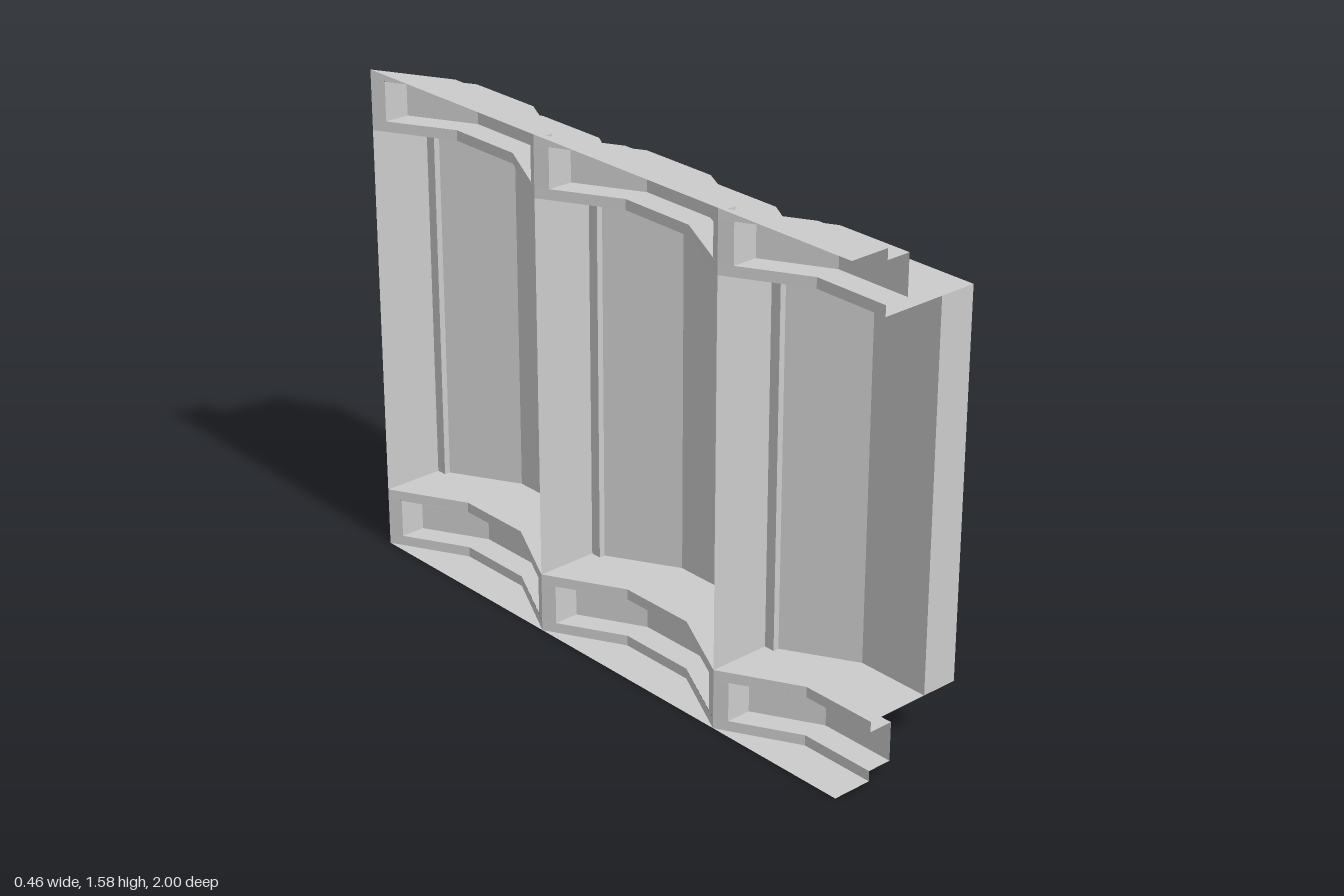
import * as THREE from 'three';
import { mergeGeometries } from 'three/addons/utils/BufferGeometryUtils.js';

const material = new THREE.MeshStandardMaterial({ color: 0xcccccc, flatShading: true, side: THREE.DoubleSide });
const HEIGHT = 1.58, RAIL = 0.19, PITCH = 0.755;

// Cross-sections of one bay as [x, distance along z]
const OUTER = [[-0.03, 0], [-0.03, 0.035], [0.11, 0.035], [0.23, 0.24], [0.23, 0.5], [0.09, 0.745], [-0.03, 0.755]];
const INNER = [[-0.03, 0], [0.11, 0.25], [0.11, 0.5], [-0.03, 0.755]];
const PLATE_EDGE = [[-0.03, 0], [0.11, 0.03], [0.23, 0.24], [0.23, 0.5], [0.09, 0.745], [-0.03, 0.75]];
const RAIL_EDGE = [[-0.23, 0], [-0.1, 0.24], [-0.1, 0.5], [-0.23, 0.755]];
const MOUTH = [[-0.209, 0.04], [-0.1, 0.24], [-0.1, 0.5], [-0.209, 0.715]];
const BACK = MOUTH.map(([x, d]) => [x + 0.08, d]);

// Place a bay section along z; the last bay is cut off at z = 1
const place = (path, z0) => path
  .filter(([, d]) => z0 + d < 1.02)
  .map(([x, d]) => [x, Math.min(1, z0 + d)]);

// Vertical sheet following a path of [x, z] points
function sheet(path, y0, y1) {
  const p = [];
  for (let i = 0; i < path.length - 1; i++) {
    const [ax, az] = path[i], [bx, bz] = path[i + 1];
    p.push(ax, y0, az, ax, y1, az, bx, y1, bz, ax, y0, az, bx, y1, bz, bx, y0, bz);
  }
  const g = new THREE.BufferGeometry();
  g.setAttribute('position', new THREE.Float32BufferAttribute(p, 3));
  g.computeVertexNormals();
  return g;
}

// Horizontal sheet filling an outline of [x, z] points
function flat(outline, y) {
  const shape = new THREE.Shape(outline.map(([x, z]) => new THREE.Vector2(x, -z)));
  const g = new THREE.ShapeGeometry(shape).toNonIndexed();
  g.deleteAttribute('uv');
  return g.rotateX(-Math.PI / 2).translate(0, y, 0);
}

function addPart(parent, name, geometries) {
  const mesh = new THREE.Mesh(mergeGeometries(geometries), material);
  mesh.name = name;
  parent.add(mesh);
}

export function createModel() {
  const model = new THREE.Group();
  model.name = 'corrugatedWall';

  for (let bay = 0; bay < 3; bay++) {
    const z0 = -1 + bay * PITCH, cut = bay === 2;
    const group = new THREE.Group();
    group.name = 'bay' + (bay + 1);
    model.add(group);

    const outer = place(OUTER, z0), inner = place(INNER, z0);
    const edge = place(RAIL_EDGE, z0), plate = place(PLATE_EDGE, z0);
    const mouth = place(MOUTH, z0), back = place(BACK, z0);

    // Thick folded wall panel, with its end cap where it is cut
    const panel = [sheet(outer, RAIL, HEIGHT - RAIL), sheet(inner, RAIL, HEIGHT - RAIL)];
    if (cut) panel.push(sheet([outer.at(-1), inner.at(-1)], RAIL, HEIGHT - RAIL));
    addPart(group, 'wallPanel', panel);

    // Thin web at the joint
    addPart(group, 'jointWeb', [sheet([[-0.23, z0], [-0.03, z0]], RAIL, HEIGHT - RAIL)]);

    for (const top of [false, true]) {
      const Y = (y) => (top ? HEIGHT - y : y);
      const side = top ? 'upper' : 'lower';

      // Shelf closing the panel
      addPart(group, side + 'Shelf', [flat([...edge, ...[...plate].reverse()], Y(RAIL))]);

      // Flange with a straight rear edge
      addPart(group, side + 'Flange', [flat(edge, Y(0))].concat(
        cut ? [flat([edge[0], edge.at(-1), [-0.23, 1]], Y(0))] : []));

      // Rail face framing a pocket
      const frame = [
        sheet(edge, Y(0), Y(0.033)),
        sheet(edge, Y(0.157), Y(RAIL)),
        sheet([edge[0], mouth[0]], Y(0.033), Y(0.157)),
      ];
      if (!cut) frame.push(sheet([mouth.at(-1), edge.at(-1)], Y(0.033), Y(0.157)));
      addPart(group, side + 'RailFace', frame);

      // Pocket bulging out towards the panel side
      const rim = [...mouth, ...[...back].reverse()];
      const pocket = [
        sheet(back, Y(0.033), Y(0.157)),
        flat(rim, Y(0.033)),
        flat(rim, Y(0.157)),
        sheet([mouth[0], back[0]], Y(0.033), Y(0.157)),
      ];
      if (!cut) pocket.push(sheet([mouth.at(-1), back.at(-1)], Y(0.033), Y(0.157)));
      addPart(group, side + 'Pocket', pocket);
    }
  }
  return model;
}
